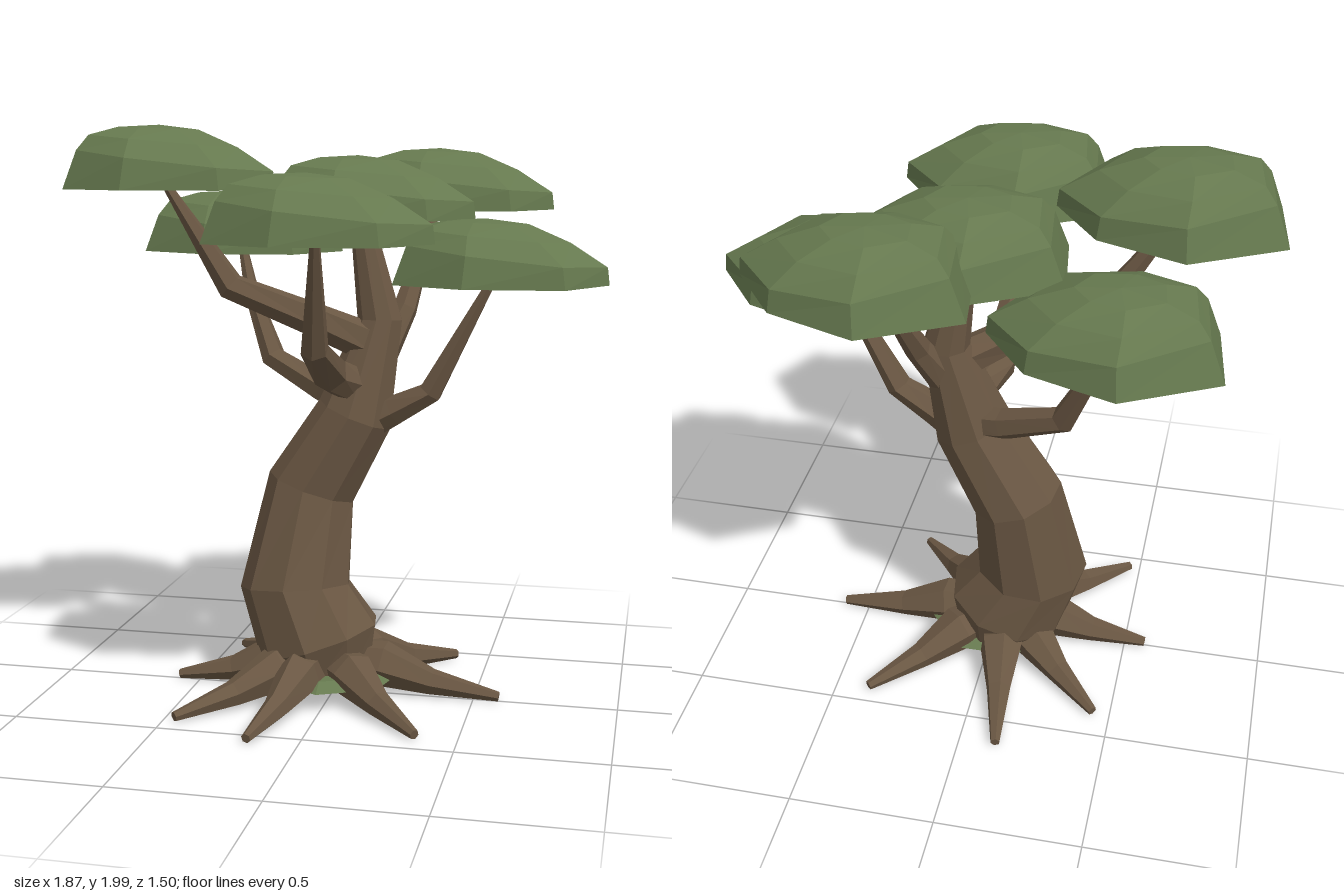
import * as THREE from 'three';

const bark = new THREE.MeshStandardMaterial({ color: 0x6a5743, flatShading: true });
const leaf = new THREE.MeshStandardMaterial({ color: 0x66794f, flatShading: true });
const UP = new THREE.Vector3(0, 1, 0);
const lerp = THREE.MathUtils.lerp;

// Tapered limb: a unit cylinder whose rings are moved onto a path of [x, y, z, radius]
function limb(name, path, sides) {
  const pts = path.map(p => new THREE.Vector3(p[0], p[1], p[2]));
  const n = pts.length - 1;
  const turns = pts.map((p, i) => new THREE.Quaternion().setFromUnitVectors(UP,
    pts[Math.min(i + 1, n)].clone().sub(pts[Math.max(i - 1, 0)]).normalize()));
  const geo = new THREE.CylinderGeometry(1, 1, 1, sides, n);
  const pos = geo.attributes.position;
  const v = new THREE.Vector3();
  for (let i = 0; i < pos.count; i++) {
    const ring = Math.round((pos.getY(i) + 0.5) * n);
    v.set(pos.getX(i), 0, pos.getZ(i)).multiplyScalar(path[ring][3]);
    v.applyQuaternion(turns[ring]).add(pts[ring]);
    pos.setXYZ(i, v.x, v.y, v.z);
  }
  geo.computeVertexNormals();
  const mesh = new THREE.Mesh(geo, bark);
  mesh.name = name;
  return mesh;
}

// Faceted dome: seven-sided outline, steep on the -x side and low on the +x side
function canopyGeometry() {
  const outline = [[-0.375, -0.13], [-0.335, 0.16], [-0.085, 0.29], [0.245, 0.26],
    [0.375, 0.02], [0.215, -0.19], [-0.075, -0.29]];
  // Per ring: [scale at -x, scale at +x, shift in x, height at -x, height at +x]
  const rings = [[1, 1, 0, 0, 0], [0.86, 0.98, 0, 0.135, 0.06],
    [0.7, 0.7, -0.02, 0.185, 0.14], [0.38, 0.38, -0.04, 0.21, 0.2]];
  const verts = [], index = [], n = outline.length;
  for (const [s0, s1, shift, h0, h1] of rings) {
    for (const [x, z] of outline) {
      const t = (x + 0.375) / 0.75, s = lerp(s0, s1, t);
      verts.push(x * s + shift, lerp(h0, h1, t), z * s);
    }
  }
  const apex = verts.length / 3, base = apex + 1, last = (rings.length - 1) * n;
  verts.push(-0.04, 0.217, 0, 0, 0, 0);
  for (let i = 0; i < n; i++) {
    const j = (i + 1) % n;
    for (let r = 0; r < last; r += n) {
      index.push(r + i, r + j, r + n + j, r + i, r + n + j, r + n + i);
    }
    index.push(last + i, last + j, apex, base, j, i);
  }
  const geo = new THREE.BufferGeometry();
  geo.setAttribute('position', new THREE.Float32BufferAttribute(verts, 3));
  geo.setIndex(index);
  const flat = geo.toNonIndexed();
  flat.computeVertexNormals();
  return flat;
}

export function createModel() {
  const tree = new THREE.Group();
  tree.name = 'tree';

  // Curved trunk
  tree.add(limb('trunk', [
    [-0.04, 0.06, -0.03, 0.17], [-0.06, 0.19, -0.03, 0.225], [-0.147, 0.38, -0.04, 0.2],
    [-0.1, 0.73, -0.1, 0.162], [0.06, 1.0, -0.085, 0.137], [0.14, 1.33, -0.12, 0.08],
    [0.06, 1.74, -0.13, 0.035]], 9));

  // Bent branches, each ending under a canopy
  const branches = {
    frontBranch: [[0.07, 1.1, -0.06, 0.07], [0.0, 1.16, 0.06, 0.065],
      [0.0, 1.27, 0.3, 0.048], [0.045, 1.64, 0.49, 0.016]],
    upperRightBranch: [[0.11, 1.25, -0.09, 0.07], [-0.06, 1.33, -0.02, 0.06],
      [-0.36, 1.45, 0.03, 0.05], [-0.58, 1.79, 0.04, 0.016]],
    lowerRightBranch: [[0.08, 1.02, -0.1, 0.065], [-0.07, 1.07, -0.17, 0.055],
      [-0.28, 1.17, -0.25, 0.046], [-0.38, 1.4, -0.32, 0.028], [-0.43, 1.57, -0.38, 0.016]],
    backBranch: [[0.13, 1.17, -0.12, 0.06], [0.21, 1.36, -0.22, 0.045],
      [0.29, 1.73, -0.45, 0.016]],
    leftBranch: [[0.08, 0.96, -0.08, 0.07], [0.2, 1.02, -0.06, 0.055],
      [0.33, 1.09, -0.045, 0.044], [0.54, 1.48, -0.02, 0.016]],
  };
  for (const [name, path] of Object.entries(branches)) tree.add(limb(name, path, 6));

  // Spreading roots, given by the x and z of their tips
  const cx = -0.04, cz = -0.02;
  const tips = [[0.59, 0], [0.36, 0.42], [-0.17, 0.57], [-0.46, 0.43],
    [-0.575, 0], [-0.44, -0.4], [-0.13, -0.62], [0.38, -0.44]];
  for (const [x, z] of tips) {
    const at = (t, y, r) => [lerp(cx, x, t), y, lerp(cz, z, t), r];
    tree.add(limb('root', [at(0.1, 0.12, 0.07), at(0.34, 0.115, 0.082),
      at(0.62, 0.062, 0.046), at(1, 0.027, 0.017)], 6));
  }

  // Flat tuft of green showing between the roots
  const moss = new THREE.Mesh(new THREE.CylinderGeometry(0.2, 0.25, 0.03, 7), leaf);
  moss.name = 'moss';
  moss.position.set(-0.01, 0.09, 0);
  tree.add(moss);

  // Leaf canopies
  const dome = canopyGeometry();
  const places = [[-0.565, 1.783, 0.04], [-0.425, 1.55, -0.4], [0.045, 1.628, 0.455],
    [0.555, 1.47, -0.05], [0.335, 1.705, -0.465], [0.09, 1.68, -0.17]];
  for (const [x, y, z] of places) {
    const canopy = new THREE.Mesh(dome, leaf);
    canopy.name = 'canopy';
    canopy.position.set(x, y, z);
    tree.add(canopy);
  }
  return tree;
}
